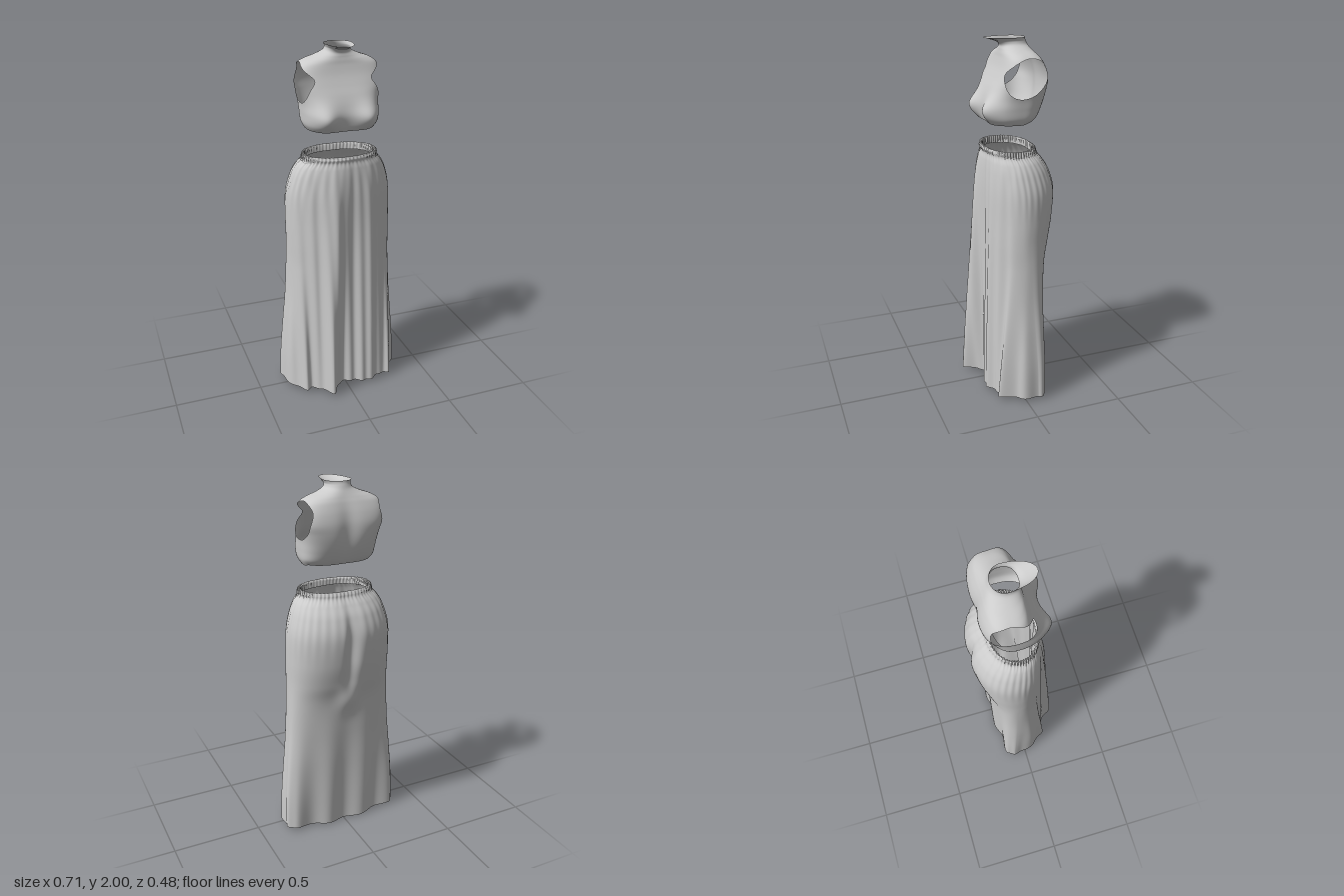
import * as THREE from 'three';
import { mergeVertices } from 'three/addons/utils/BufferGeometryUtils.js';

const bell = (x, mid, width) => Math.exp(-(((x - mid) / width) ** 2));
const material = new THREE.MeshStandardMaterial({ color: 0xcccccc, side: THREE.DoubleSide });

// Catmull-Rom blend of a table of rows, s from 0 to 1
function rowAt(rows, s) {
  const k = s * (rows.length - 1);
  const i = Math.min(Math.floor(k), rows.length - 2);
  const t = k - i;
  const at = (n) => rows[THREE.MathUtils.clamp(n, 0, rows.length - 1)];
  return rows[i].map((p1, c) => {
    const p0 = at(i - 1)[c], p2 = at(i + 1)[c], p3 = at(i + 2)[c];
    return p1 + 0.5 * t * (p2 - p0 + t * (2 * p0 - 5 * p1 + 4 * p2 - p3 + t * (3 * (p1 - p2) + p3 - p0)));
  });
}

// Loft of superellipse rings; rows are [y, half width, z of widest point, front z, back z, squareness].
// warp shapes each point; keep(p) < 0 trims the surface away.
function loft(rows, around, up, warp, keep = () => 1) {
  const grid = [];
  for (let j = 0; j <= up; j++) {
    const [y, w, c, front, back, n] = rowAt(rows, j / up);
    const ring = [];
    for (let i = 0; i < around; i++) {
      const t = (i / around) * Math.PI * 2;
      const sx = Math.sin(t), cz = Math.cos(t);
      const r = (Math.abs(sx) ** n + Math.abs(cz) ** n) ** (-1 / n);
      const p = new THREE.Vector3(w * r * sx, y, c + r * cz * (cz > 0 ? front - c : c - back));
      warp(p, t, c, j / up);
      ring.push(p);
    }
    grid.push(ring);
  }
  const out = [];
  const addTriangle = (...tri) => {
    const poly = [];
    tri.forEach((a, k) => {
      const b = tri[(k + 1) % 3];
      const ga = keep(a), gb = keep(b);
      if (ga >= 0) poly.push(a);
      if (ga * gb < 0) poly.push(a.clone().lerp(b, ga / (ga - gb)));
    });
    for (let k = 1; k + 1 < poly.length; k++) {
      for (const p of [poly[0], poly[k], poly[k + 1]]) out.push(p.x, p.y, p.z);
    }
  };
  for (let j = 0; j < up; j++) {
    for (let i = 0; i < around; i++) {
      const n = (i + 1) % around;
      addTriangle(grid[j][i], grid[j][n], grid[j + 1][n]);
      addTriangle(grid[j][i], grid[j + 1][n], grid[j + 1][i]);
    }
  }
  const raw = new THREE.BufferGeometry();
  raw.setAttribute('position', new THREE.Float32BufferAttribute(out, 3));
  const geometry = mergeVertices(raw, 1e-5);
  geometry.computeVertexNormals();
  return geometry;
}

// Long skirt: hem at the bottom, gathered waist rolled inwards at the top
function skirtGeometry() {
  const rows = [
    [0.02, 0.35, -0.07, 0.135, -0.138, 2.8],
    [0.2, 0.345, -0.065, 0.135, -0.146, 2.7],
    [0.4, 0.33, -0.055, 0.135, -0.153, 2.6],
    [0.6, 0.313, -0.045, 0.135, -0.16, 2.5],
    [0.8, 0.303, -0.04, 0.135, -0.172, 2.4],
    [0.92, 0.3, -0.03, 0.135, -0.202, 2.3],
    [1.05, 0.3, -0.03, 0.135, -0.23, 2.2],
    [1.2, 0.294, -0.03, 0.135, -0.241, 2.2],
    [1.3, 0.27, -0.02, 0.132, -0.216, 2.2],
    [1.36, 0.243, -0.01, 0.128, -0.18, 2.2],
    [1.395, 0.214, 0, 0.124, -0.152, 2.2],
    [1.415, 0.208, 0, 0.133, -0.146, 2.2],
    [1.43, 0.203, 0, 0.13, -0.138, 2.2],
    [1.425, 0.194, 0, 0.12, -0.13, 2.2],
    [1.39, 0.19, 0, 0.115, -0.13, 2.2],
  ];
  const warp = (p, t, c) => {
    const { x, y } = p;
    const front = THREE.MathUtils.smoothstep(Math.cos(t), 0, 0.35);
    const back = THREE.MathUtils.smoothstep(-Math.cos(t), 0, 0.35);
    const fall = Math.max(0, 1 - y / 1.42) ** 0.65;
    const low = Math.max(0, 1 - y / 0.8);
    // gathers at the waist, soft ripples below
    const waist = bell(y, 1.42, 0.035);
    const gathers = 0.018 * waist * Math.sin(60 * t) + 0.006 * bell(y, 1.3, 0.15) * Math.sin(34 * t + Math.sin(3 * t));
    const ripple = 1 + gathers + 0.014 * low * Math.sin(11 * t + 0.6);
    p.x *= ripple;
    p.z = c + (p.z - c) * ripple;
    // hanging folds in front
    p.z += front * fall * (
      0.102 * bell(x, -0.06 - 0.055 * fall, 0.09 - 0.045 * fall)
      + 0.046 * bell(x, 0.13, 0.075)
      + 0.02 * bell(x, -0.2, 0.05)
      + 0.05 * low * (bell(x, 0.265, 0.03) + bell(x, -0.265, 0.03))
      + 0.007 * Math.sin(95 * x + 1.5 * y));
    // seat crease, the tuck beneath it and folds in the back
    p.z += back * (0.03 * bell(x, 0, 0.035) * bell(y, 1.12, 0.2) - 0.026 * bell(x, 0, 0.06) * bell(y, 0.82, 0.08));
    p.z += back * low * 0.012 * Math.cos(30 * x);
    // hem dips at the back
    p.y -= 0.02 * back * bell(x, 0, 0.22) * Math.exp(-(y - 0.02) / 0.1);
  };
  return loft(rows, 300, 120, warp);
}

// Sleeveless cropped top with a flared collar and trimmed armholes
function topGeometry() {
  const rows = [
    [1.567, 0.185, -0.02, 0.118, -0.12, 2.5],
    [1.6, 0.202, -0.02, 0.128, -0.14, 2.7],
    [1.65, 0.206, -0.02, 0.134, -0.162, 2.8],
    [1.7, 0.208, -0.03, 0.124, -0.176, 3],
    [1.75, 0.216, -0.035, 0.106, -0.182, 3.4],
    [1.8, 0.227, -0.04, 0.082, -0.18, 4],
    [1.85, 0.227, -0.045, 0.06, -0.168, 4],
    [1.895, 0.212, -0.05, 0.046, -0.15, 3.4],
    [1.92, 0.178, -0.05, 0.041, -0.137, 2.7],
    [1.94, 0.122, -0.045, 0.037, -0.126, 2.3],
    [1.96, 0.079, -0.04, 0.036, -0.115, 2.1],
    [1.978, 0.067, -0.035, 0.055, -0.107, 2],
    [1.99, 0.069, -0.03, 0.09, -0.102, 2],
    [2.0, 0.074, -0.03, 0.125, -0.1, 2],
  ];
  const warp = (p, t) => {
    const { x, y } = p;
    const front = THREE.MathUtils.smoothstep(Math.cos(t), 0, 0.5);
    const back = THREE.MathUtils.smoothstep(-Math.cos(t), 0, 0.5);
    // bust
    p.z += 0.05 * front * bell(y, 1.635, 0.07) * (bell(x, 0.125, 0.068) + bell(x, -0.125, 0.068));
    // hollow along the spine
    p.z += 0.014 * back * bell(x, 0, 0.05) * bell(y, 1.75, 0.16);
    // lower edge rises a little at the back
    p.y += 0.01 * back * Math.exp(-(y - 1.567) / 0.05);
  };
  // slanted oval armholes
  const keep = (p) => {
    if (Math.abs(p.x) < 0.12) return 1;
    const dy = p.y - 1.807;
    const dz = p.z + 0.04 + 0.22 * dy;
    return (dz / 0.11) ** 2 + (dy / 0.101) ** 2 - 1;
  };
  return loft(rows, 160, 104, warp, keep);
}

export function createModel() {
  const group = new THREE.Group();
  const parts = { skirt: skirtGeometry(), croppedTop: topGeometry() };
  for (const [name, geometry] of Object.entries(parts)) {
    const mesh = new THREE.Mesh(geometry, material);
    mesh.name = name;
    group.add(mesh);
  }
  return group;
}
